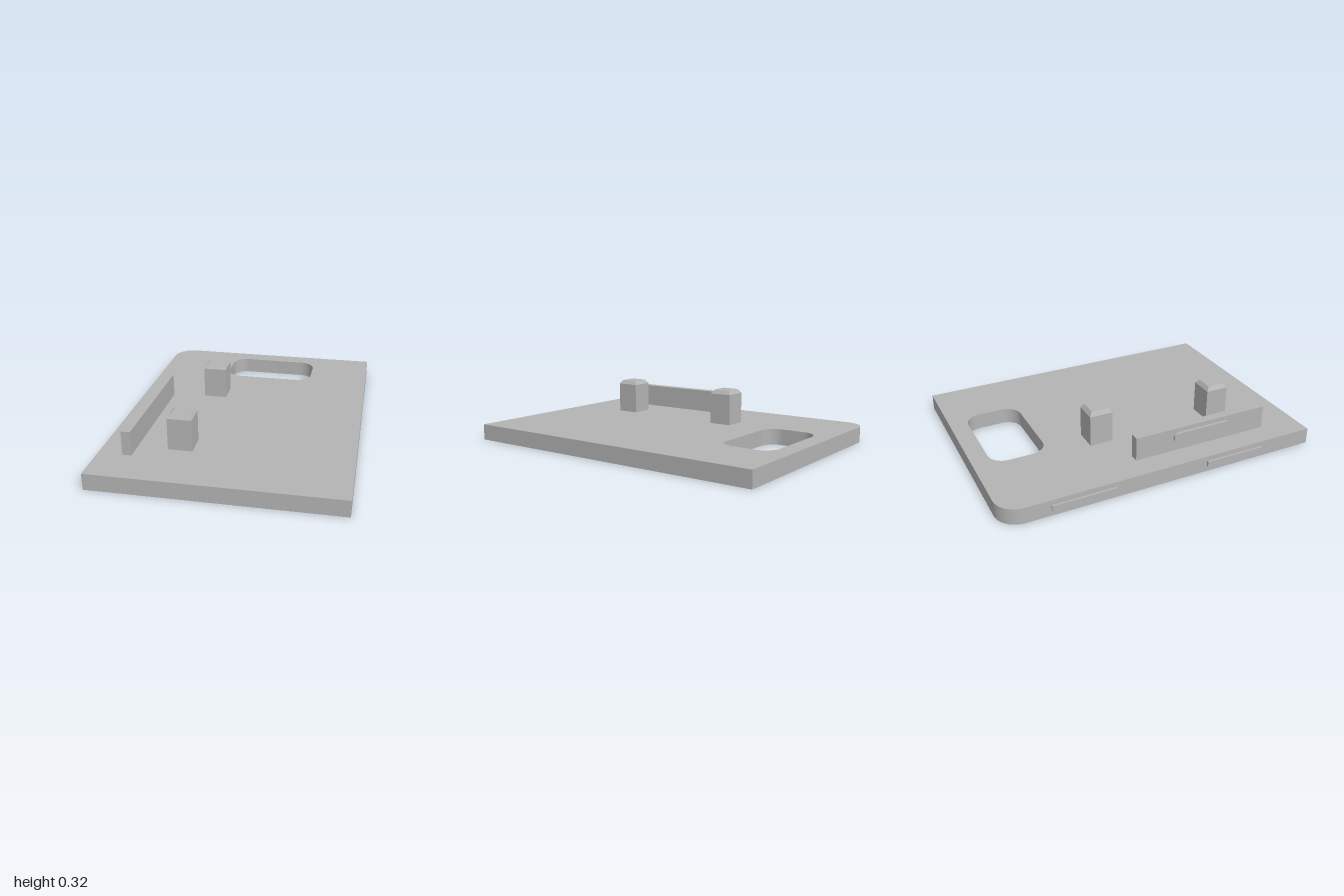
import * as THREE from 'three';
import { toCreasedNormals } from 'three/addons/utils/BufferGeometryUtils.js';

// Rounded rectangle; r lists the radii at (x0,y0), (x1,y0), (x1,y1), (x0,y1)
function roundedRect(path, x0, y0, x1, y1, r) {
  const corners = [
    [x0 + r[0], y0 + r[0], Math.PI, r[0]],
    [x1 - r[1], y0 + r[1], 1.5 * Math.PI, r[1]],
    [x1 - r[2], y1 - r[2], 0, r[2]],
    [x0 + r[3], y1 - r[3], 0.5 * Math.PI, r[3]],
  ];
  corners.forEach(([cx, cy, a, rad], i) => {
    if (rad > 0) path.absarc(cx, cy, rad, a, a + Math.PI / 2, false);
    else if (i === 0) path.moveTo(cx, cy);
    else path.lineTo(cx, cy);
  });
  path.closePath();
  return path;
}

function extrude(shape, depth) {
  return new THREE.ExtrudeGeometry(shape, { depth, bevelEnabled: false, curveSegments: 14 });
}

export function createModel() {
  const group = new THREE.Group();
  const grey = new THREE.MeshStandardMaterial({ color: 0xb4b4b4 });
  grey.name = 'grey';

  const add = (name, geometry) => {
    const mesh = new THREE.Mesh(toCreasedNormals(geometry, 0.5), grey);
    mesh.name = name;
    group.add(mesh);
    return mesh;
  };
  const box = (name, x0, x1, y0, y1, z0, z1) =>
    add(name, new THREE.BoxGeometry(x1 - x0, y1 - y0, z1 - z0))
      .position.set((x0 + x1) / 2, (y0 + y1) / 2, (z0 + z1) / 2);

  // Base plate with one rounded corner and a rounded window
  const outline = roundedRect(new THREE.Shape(), -0.725, -1, 0.735, 1, [0.135, 0, 0, 0]);
  outline.holes.push(roundedRect(new THREE.Path(), -0.25, -0.89, 0.345, -0.545, [0.1, 0.1, 0.1, 0.1]));
  add('basePlate', extrude(outline, 0.1).rotateX(Math.PI / 2).translate(0, 0.1, 0));

  // Square posts with chamfered tops
  const half = Math.SQRT1_2 * 2;
  const profile = [[0.0725, 0], [0.0725, 0.195], [0.054, 0.22], [0, 0.22]]
    .map(([r, y]) => new THREE.Vector2(r * half, y));
  for (const [name, x, z] of [['rearPost', -0.245, -0.228], ['frontPost', -0.27, 0.566]]) {
    add(name, new THREE.LatheGeometry(profile, 4, Math.PI / 4)).position.set(x, 0.1, z);
  }

  // Upright rail with a round-ended rib on its outer side
  box('rail', -0.58, -0.525, 0.1, 0.247, -0.13, 0.75);
  const rib = roundedRect(new THREE.Shape(), 0.115, 0.16, 0.505, 0.22, [0.03, 0.03, 0.03, 0.03]);
  add('railRib', extrude(rib, 0.018).rotateY(-Math.PI / 2).translate(-0.58, 0, 0));

  // Slim catches along the plate edge
  box('rearEdgeCatch', -0.738, -0.725, 0.036, 0.069, -0.715, -0.33);
  box('frontEdgeCatch', -0.738, -0.725, 0.036, 0.069, 0.265, 0.65);

  return group;
}
